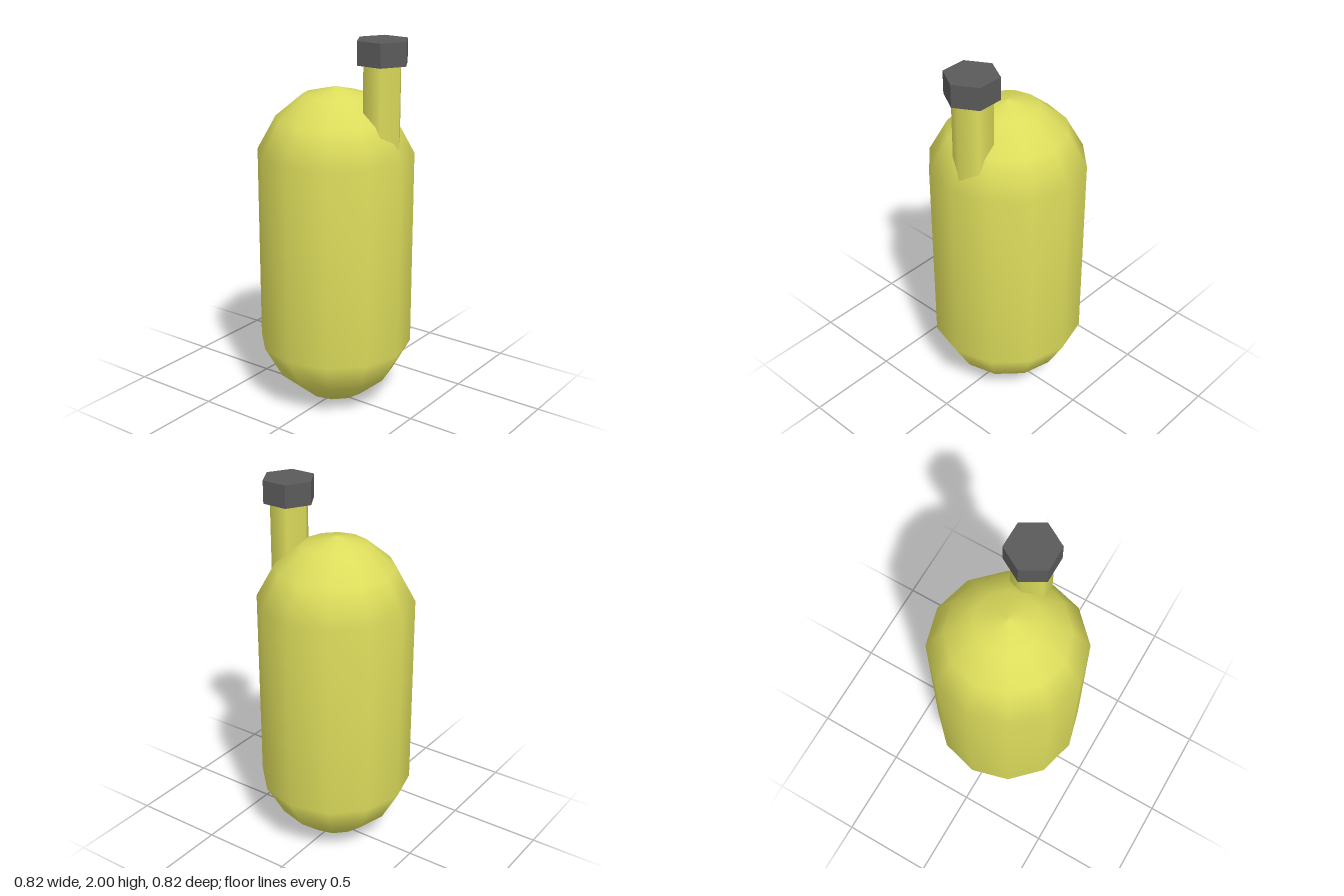
import * as THREE from 'three';

export function createModel() {
  const model = new THREE.Group();
  const yellow = new THREE.MeshStandardMaterial({ color: 0xdcdc5c });
  const dark = new THREE.MeshStandardMaterial({ color: 0x5a5a5a, flatShading: true });

  const add = (name, geometry, material) => {
    const mesh = new THREE.Mesh(geometry, material);
    mesh.name = name;
    model.add(mesh);
    return mesh;
  };

  // Twelve-sided tank with domed ends, profile from bottom to top
  const profile = [
    [0, 0], [0.17, 0.047], [0.312, 0.168], [0.41, 0.345],
    [0.41, 1.4], [0.312, 1.578], [0.17, 1.697], [0, 1.74],
  ].map(([r, y]) => new THREE.Vector2(r, y));
  add('tank', new THREE.LatheGeometry(profile, 12), yellow);

  // Hexagonal prism on the off-centre neck axis, corners pointing to +x and -x
  const hexPrism = (name, radius, bottom, top, material) => {
    const geometry = new THREE.CylinderGeometry(radius, radius, top - bottom, 6, 1, false, Math.PI / 2);
    add(name, geometry, material).position.set(0.27, (bottom + top) / 2, -0.025);
  };
  hexPrism('neck', 0.104, 1.4, 1.9, yellow);
  hexPrism('cap', 0.139, 1.88, 2, dark);

  return model;
}
